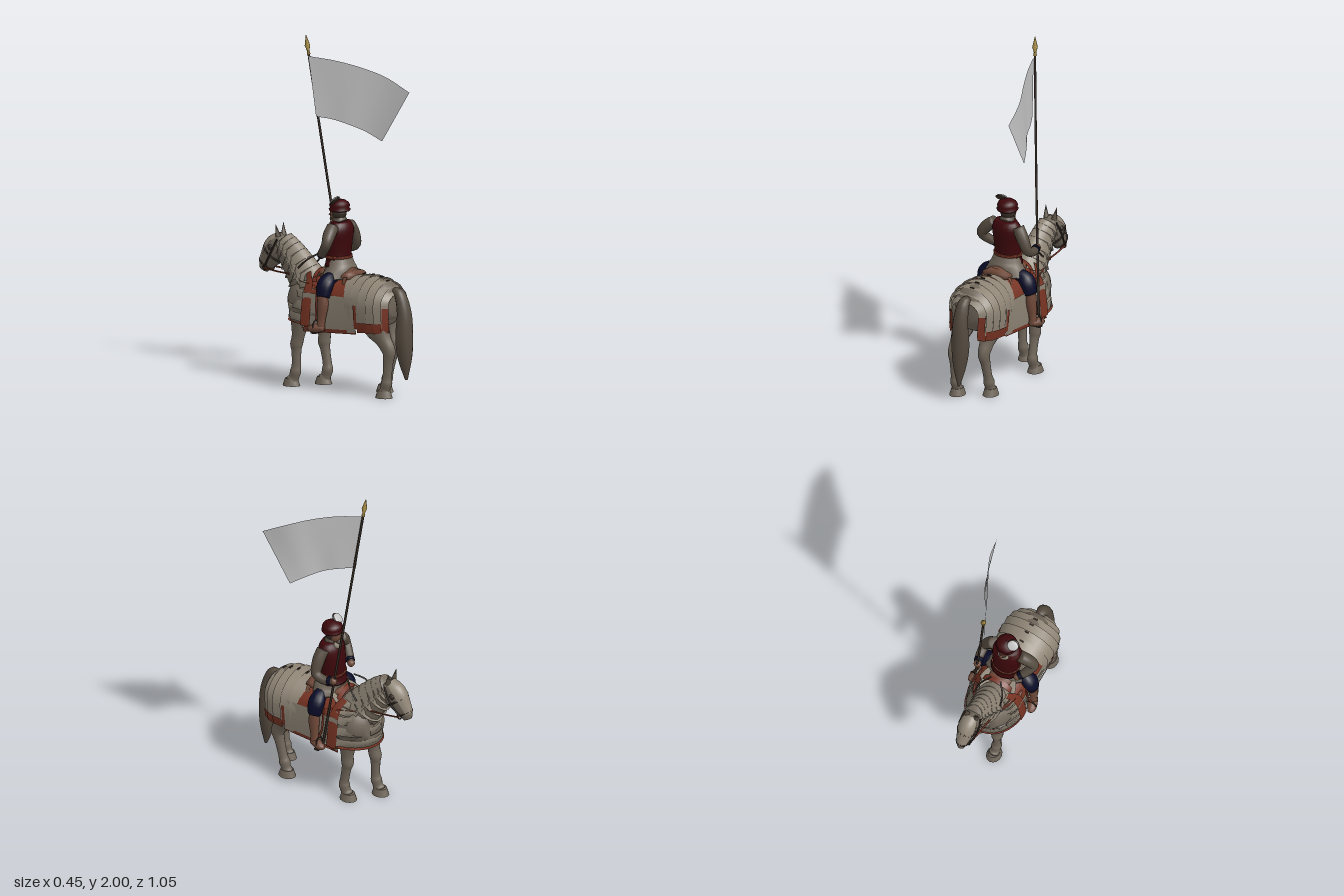
import * as THREE from 'three';

const mat = (name, color, side = THREE.DoubleSide) => Object.assign(new THREE.MeshStandardMaterial({ color, side }), { name });
const M = {
  coat: mat('horse coat', 0x70665a), armor: mat('pale armour', 0x8e8475),
  hair: mat('tail, hair and brown cloth', 0x544a3f), trim: mat('red leather', 0x753222),
  crimson: mat('crimson cloth', 0x3c070b), navy: mat('navy cloth', 0x0a0c28),
  skin: mat('tan skin and leather', 0x6f4939), dark: mat('dark wood and straps', 0x352b24),
  gold: mat('gilt metal', 0xa88d45), white: mat('white cloth', 0xc2c2c2),
};

function add(g, name, geo, m, x = 0, y = 0, z = 0) {
  const mesh = new THREE.Mesh(geo, m);
  mesh.name = name;
  mesh.position.set(x, y, z);
  g.add(mesh);
  return mesh;
}
const V = (x, y, z) => new THREE.Vector3(x, y, z);
const curve = pts => new THREE.CatmullRomCurve3(pts.map(p => V(...p)), false, 'catmullrom', 0.5);
// point and radii [x, y, z, ra, rb] along a table of sections
function sampler(pts) {
  const c = curve(pts.map(p => p.slice(0, 3))), r = curve(pts.map(p => [p[3], p[4] ?? p[3], 0]));
  return u => { const p = c.getPoint(u), q = r.getPoint(u); return [p.x, p.y, p.z, q.x, q.y]; };
}
function gridGeo(rows, cols, closed, pos, caps) {
  const idx = [], w = closed ? cols : cols + 1;
  for (let i = 0; i < rows; i++) for (let j = 0; j < cols; j++) {
    const k = (j + 1) % w, a = i * w + j, b = i * w + k, c = b + w, d = a + w;
    idx.push(a, b, c, a, c, d);
  }
  if (caps) for (let j = 0; j < cols; j++) {
    const k = (j + 1) % w, e = rows * w, n = (rows + 1) * w;
    idx.push(n, k, j, n + 1, e + j, e + k);
  }
  const g = new THREE.BufferGeometry();
  g.setAttribute('position', new THREE.Float32BufferAttribute(pos, 3));
  g.setIndex(idx);
  g.computeVertexNormals();
  return g;
}
// elliptical cross-sections swept along a path; a0..a1 in degrees gives an open shell
function loft(pts, { n = 14, steps = 4, a0 = 0, a1 = 360 } = {}) {
  const at = sampler(pts), rows = (pts.length - 1) * steps, closed = a1 - a0 >= 360, pos = [];
  const c = curve(pts.map(p => p.slice(0, 3)));
  const whole = V(...pts.at(-1).slice(0, 3)).sub(V(...pts[0].slice(0, 3))).normalize();
  const ref = Math.abs(whole.x) > 0.8 ? V(0, 0, 1) : V(1, 0, 0);
  for (let i = 0; i <= rows; i++) {
    const [x, y, z, ra, rb] = at(i / rows), t = c.getTangent(i / rows);
    const s = ref.clone().addScaledVector(t, -ref.dot(t)).normalize(), u = t.clone().cross(s);
    for (let j = 0; j < (closed ? n : n + 1); j++) {
      const a = (a0 + (a1 - a0) * j / n) * Math.PI / 180;
      const p = V(x, y, z).addScaledVector(s, ra * Math.cos(a)).addScaledVector(u, rb * Math.sin(a));
      pos.push(p.x, p.y, p.z);
    }
  }
  if (closed) pos.push(...pts[0].slice(0, 3), ...pts.at(-1).slice(0, 3));
  return gridGeo(rows, n, closed, pos, closed);
}
// saddle-shaped plate across the back; rows [z, halfWidth, top, bottom], t from -1 to 1 across
function plate(rows, t0 = -1, t1 = 1, yc = 0.53, n = 24) {
  const pos = [];
  for (const [z, rx, top, bot] of rows) for (let j = 0; j <= n; j++) {
    const t = t0 + (t1 - t0) * j / n, s = Math.sign(t), a = Math.min(Math.abs(t) * 2, 1) * Math.PI / 2;
    const d = Math.max(Math.abs(t) * 2 - 1, 0);
    pos.push(s * rx * (Math.sin(a) - 0.08 * d * d), d ? yc - d * (yc - bot) : yc + (top - yc) * Math.cos(a), z);
  }
  return gridGeo(rows.length - 1, n, false, pos, false);
}
const rod = (pts, r, seg = 16) => new THREE.TubeGeometry(curve(pts), seg, r, 6);

function horse(g) {
  add(g, 'horseBody', loft([[0, .53, .415, .06, .07], [0, .53, .37, .125, .125], [0, .52, .26, .145, .145], [0, .505, .08, .135, .14],
    [0, .495, -.1, .145, .14], [0, .50, -.2, .135, .13], [0, .51, -.272, .085, .09]], { n: 20 }), M.coat);
  const neck = [[0, .54, -.15, .10, .125], [0, .65, -.235, .075, .105], [0, .745, -.315, .058, .088], [0, .80, -.37, .052, .07]];
  add(g, 'neck', loft(neck), M.coat);
  const head = [[0, .825, -.355, .038, .04], [0, .785, -.385, .052, .07], [0, .74, -.42, .053, .075], [0, .69, -.46, .040, .056],
    [0, .655, -.485, .030, .044], [0, .63, -.497, .022, .028]];
  add(g, 'head', loft(head), M.coat);
  add(g, 'facePlate', loft(head.slice(0, 5).map(([x, y, z, a, b]) => [x, y, z, a + .005, b + .006]), { a0: -150, a1: -30 }), M.armor);

  // overlapping neck plates over a smooth lining
  add(g, 'neckLining', loft(neck.map(([x, y, z, a, b]) => [x, y, z, a + .004, b + .004]), { a0: -185, a1: 5 }), M.armor);
  const at = sampler(neck);
  for (let i = 0; i < 6; i++) {
    const a = at(.1 + i * .145), b = at(.1 + (i + 1) * .145 + .02);
    a[3] += .010; a[4] += .010; b[3] += .006; b[4] += .006;
    add(g, 'neckPlate', loft([a, b], { a0: -185, a1: 5, steps: 1 }), M.armor);
  }
  for (const s of [-1, 1]) {
    const ear = add(g, 'ear', new THREE.ConeGeometry(.017, .075, 8), M.hair, s * .033, .87, -.385);
    ear.rotation.set(-.15, 0, -s * .15);
    const eye = add(g, 'eye', new THREE.SphereGeometry(.017, 10, 8), M.dark, s * .048, .77, -.42);
    eye.scale.x = .7;
    add(g, 'cheekStrap', rod([[s * .052, .82, -.37], [s * .058, .74, -.41], [s * .04, .655, -.465]], .005), M.dark);
    add(g, 'bit', new THREE.TorusGeometry(.014, .004, 6, 12), M.dark, s * .038, .65, -.465).rotation.y = Math.PI / 2;
    add(g, 'rein', rod([[s * .038, .645, -.465], [s * .055, .638, -.36], [s * .07, .638, -.27]], .005), M.trim);
    add(g, 'reinEnd', rod([[s * .085, .68, -.20], [s * .07, .73, -.15], [s * .03, .765, -.10]], .005), M.dark);
  }
  // bridle bands
  for (const u of [.42, .72]) {
    const p = sampler(head)(u), q = sampler(head)(u + .03);
    for (const k of [p, q]) { k[3] += .008; k[4] += .008; }
    add(g, 'bridleBand', loft([p, q], { a0: 0, a1: 359, steps: 1 }), M.dark);
  }

  // legs: rows [y, z offset, radius, depth]
  const hind = [[.50, -.10, .07, .11], [.40, -.06, .058, .085], [.33, -.015, .04, .05], [.27, .02, .032, .042], [.21, .015, .026, .031],
    [.12, .005, .025, .027], [.085, 0, .031, .033], [.05, -.01, .027, .03], [.03, -.015, .034, .04]];
  const fore = [[.48, -.01, .06, .08], [.38, 0, .045, .058], [.29, 0, .034, .038], [.24, -.005, .034, .037], [.20, 0, .026, .029],
    [.12, .01, .024, .027], [.085, .01, .030, .033], [.05, 0, .027, .03], [.03, -.01, .034, .04]];
  for (const [name, rows, x, z0, z1] of [['hindLeg', hind, -.08, .40, .41], ['hindLeg', hind, .075, .36, .305],
    ['foreLeg', fore, -.075, -.18, -.235], ['foreLeg', fore, .075, -.14, -.12]]) {
    const shift = y => z0 + (z1 - z0) * Math.min(1, (.48 - y) / .4);
    add(g, name, loft(rows.map(([y, dz, a, b]) => [x, y, shift(y) + dz, a, b])), M.coat);
    const hoof = add(g, 'hoof', new THREE.CylinderGeometry(.032, .044, .042, 14), M.coat, x, .021, z1 - .018);
    hoof.scale.z = 1.2;
  }
  add(g, 'tail', loft([[0, .60, .40, .022], [0, .585, .445, .035, .03], [0, .48, .475, .045, .04], [0, .34, .475, .052, .05],
    [0, .22, .48, .036, .042], [0, .10, .49, .006, .008]]), M.hair);
}

function barding(g) {
  // rump bands
  const rump = [[.13, .150, .667], [.20, .160, .675], [.26, .166, .677], [.315, .163, .668], [.36, .15, .65], [.395, .125, .622], [.42, .085, .585]];
  for (let i = 0; i < 6; i++) {
    const [z0, r0, t0] = rump[i], [z1, r1, t1] = rump[i + 1];
    add(g, 'rumpPlate', plate([[z0, r0 - .003, t0 - .005, .40], [z1 + .01, r1 + .005, t1 + .003, .405]]), M.armor);
    if (i > 1) for (const s of [-1, 1]) add(g, 'rumpHem',
      plate([[z0, r0 + .006, t0, .378], [z1 + .01, r1 + .010, t1, .385]], s * .84, s * 1.03, .53, 4), M.trim);
    if (i < 4) add(g, 'ridgeBuckle', new THREE.BoxGeometry(.025, .006, .008), M.dark, 0, t1 + .005, z1);
  }
  for (const s of [-1, 1]) {
    add(g, 'rumpEdge', plate([[.405, .124, .61, .39], [.430, .09, .58, .39]], s * .55, s, .53, 8), M.trim);
    // flank plates in three tiers with a red edge
    for (let i = 0; i < 3; i++) add(g, 'flankPlate',
      plate([[.25, .160 + i * .004, .6, .37], [.08, .152 + i * .004, .6, .355], [-.12, .157 + i * .004, .6, .355]], s * (.48 + i * .17), s * (.67 + i * .17), .56, 6), M.armor);
    add(g, 'flankHem', plate([[.25, .165, .6, .365], [-.12, .163, .6, .345]], s * .965, s * 1.02, .56, 3), M.trim);
    add(g, 'flankStrap', plate([[.260, .172, .6, .39], [.240, .172, .6, .39]], s * .6, s, .56, 8), M.trim);
  }
  // chest bands wrapping the front, rising to the neck
  const chest = [[.375, .170, .202, -.09], [.44, .164, .202, -.09], [.51, .154, .195, -.09], [.575, .138, .176, -.09],
    [.625, .110, .135, -.10], [.665, .082, .105, -.125]];
  const grow = d => chest.map(([y, a, b, z]) => [0, y, z, a + d, b + d]);
  for (let i = 0; i < 5; i++)
    add(g, 'chestPlate', loft([grow(.003)[i], grow(-.001)[i + 1]], { n: 24, steps: 2, a0: -8, a1: 188 }), M.armor);
  for (const s of [0, 180])
    add(g, 'chestEdge', loft(grow(.007), { n: 4, steps: 3, a0: s - 9, a1: s + 9 }), M.trim);
  add(g, 'chestHem', loft([[0, .358, -.09, .173, .203], [0, .383, -.09, .175, .207]], { n: 24, steps: 1, a0: -8, a1: 188 }), M.trim);
  add(g, 'chestCollar', loft([[0, .592, -.09, .137, .171], [0, .612, -.09, .126, .153]], { n: 24, steps: 1, a0: -8, a1: 188 }), M.trim);
  // saddle cloth, seat and raised ends
  add(g, 'saddleCloth', plate([[.20, .157, .665, .50], [.05, .148, .655, .50], [-.10, .150, .645, .50]]), M.trim);
  add(g, 'saddleSeat', loft([[0, .665, .15, .085, .03], [0, .655, .03, .085, .035], [0, .66, -.08, .06, .03]]), M.skin);
  add(g, 'cantle', plate([[.14, .11, .70, .55], [.115, .105, .705, .56]], -.8, .8, .60), M.skin);
  add(g, 'pommel', plate([[-.065, .10, .695, .56], [-.095, .10, .685, .56]], -.8, .8, .60), M.trim);
}

function rider(g) {
  add(g, 'coatSkirt', loft([[0, .645, .035, .138, .085], [0, .68, .035, .115, .085], [0, .71, .03, .095, .08], [0, .75, .025, .08, .07]]), M.coat);
  add(g, 'doublet', loft([[0, .71, .025, .092, .083], [0, .755, .022, .08, .068], [0, .84, .025, .084, .07], [0, .92, .035, .09, .066],
    [0, .965, .037, .066, .045]], { n: 18 }), M.crimson);
  add(g, 'belt', loft([[0, .754, .022, .086, .074], [0, .770, .022, .086, .073]]), M.trim);
  add(g, 'collar', loft([[0, .955, .03, .048, .045], [0, .985, .02, .036, .036]]), M.hair);
  add(g, 'shirtFront', new THREE.SphereGeometry(.035, 14, 10), M.armor, 0, .945, -.008).scale.set(1, .9, .7);
  // head and hat
  add(g, 'face', new THREE.SphereGeometry(.043, 18, 14), M.skin, 0, 1.005, .010).scale.set(.9, 1.15, 1);
  add(g, 'nose', new THREE.ConeGeometry(.01, .026, 8), M.skin, 0, 1.003, -.034).rotation.x = .3;
  add(g, 'hairBack', new THREE.SphereGeometry(.044, 14, 10), M.dark, 0, 1.008, .022);
  add(g, 'beard', new THREE.SphereGeometry(.022, 12, 8), M.hair, 0, .972, -.015);
  const hat = [[.001, 1.088], [.03, 1.084], [.052, 1.07], [.060, 1.052], [.052, 1.040], [.063, 1.032], [.058, 1.022], [.04, 1.02]];
  add(g, 'hat', new THREE.LatheGeometry(hat.map(p => new THREE.Vector2(...p)), 22), M.crimson, 0, 0, .027);
  // plume, pale in front and dark behind
  for (const [m, r, d] of [[M.white, .032, 0], [M.dark, .035, .008]]) {
    const f = add(g, 'plume', new THREE.SphereGeometry(r, 14, 10), m, -.043, 1.088 - d * .5, .018 + d);
    f.scale.set(1, .25, 1);
    f.rotation.set(-.75, 0, .15);
  }
  // arms: one on the hip, one on the pole
  const arms = [[[-.08, .935, .035], [-.127, .90, .045], [-.162, .85, .05], [-.132, .80, .005], [-.10, .775, -.03]],
    [[.08, .935, .035], [.115, .88, .04], [.145, .81, .035], [.145, .785, -.02], [.132, .79, -.075]]];
  const radii = [.036, .036, .029, .026, .020];
  for (const a of arms) {
    add(g, 'sleeve', loft(a.map((p, i) => [...p, radii[i]])), M.hair);
    const mid = k => a[3].map((v, i) => v + (a[4][i] - v) * k);
    add(g, 'cuff', loft([[...mid(.4), .026], [...mid(.75), .026]]), M.navy);
    add(g, 'hand', new THREE.SphereGeometry(.022, 12, 10), M.skin, ...a[4]);
  }
  // legs and stirrups
  for (const s of [-1, 1]) {
    add(g, 'breeches', loft([[s * .07, .65, .04, .035], [s * .11, .645, .035, .040], [s * .148, .615, .032, .042, .05],
      [s * .168, .55, .032, .032, .04]]), M.navy);
    add(g, 'boot', loft([[s * .168, .565, .03, .029], [s * .170, .50, .032, .028, .033], [s * .174, .42, .025, .022, .024], [s * .176, .365, .02, .024, .028]]), M.skin);
    add(g, 'shoe', loft([[s * .174, .375, .04, .02, .018], [s * .182, .372, 0, .028, .026], [s * .19, .368, -.03, .025, .022], [s * .193, .366, -.053, .012, .010]]), M.skin);
    add(g, 'stirrupLeather', rod([[s * .152, .6, -.02], [s * .164, .48, -.02], [s * .178, .42, -.01]], .006), M.trim);
    const arch = add(g, 'stirrup', new THREE.TorusGeometry(.030, .004, 6, 14), M.dark, s * .180, .38, -.01);
    arch.scale.y = 1.2;
    add(g, 'stirrupTread', new THREE.BoxGeometry(.055, .008, .03), M.dark, s * .180, .346, -.01);
  }
}

function banner(g) {
  add(g, 'pole', rod([[.16, .36, -.032], [.085, 1.06, -.11], [.002, 1.92, -.207]], .007, 4), M.dark);
  const tip = add(g, 'spearhead', new THREE.LatheGeometry([[.001, 0], [.011, 0], [.007, .02], [.016, .05], [.001, .112]]
    .map(p => new THREE.Vector2(...p)), 8), M.gold, .005, 1.89, -.204);
  tip.quaternion.setFromUnitVectors(V(0, 1, 0), V(-.07, .86, -.096).normalize());
  // waving flag between an upper and a lower edge
  const up = curve([[-.002, 1.88, -.2], [.06, 1.86, -.06], [.125, 1.825, .07], [.19, 1.772, .2], [.22, 1.695, .34]]);
  const low = curve([[.018, 1.535, -.162], [.065, 1.52, -.08], [.10, 1.495, .0], [.155, 1.455, .08], [.2, 1.40, .165]]);
  const pos = [];
  for (let i = 0; i <= 24; i++) for (let j = 0; j <= 6; j++)
    pos.push(...up.getPoint(i / 24).lerp(low.getPoint(i / 24), j / 6).toArray());
  add(g, 'flag', gridGeo(24, 6, false, pos, false), M.white);
}

export function createModel() {
  const model = new THREE.Group();
  model.name = 'mountedStandardBearer';
  for (const [name, build, x] of [['horse', horse, -.018], ['barding', barding, -.018], ['rider', rider, -.018], ['banner', banner, 0]]) {
    const g = new THREE.Group();
    g.name = name;
    g.position.x = x;
    build(g);
    model.add(g);
  }
  return model;
}
